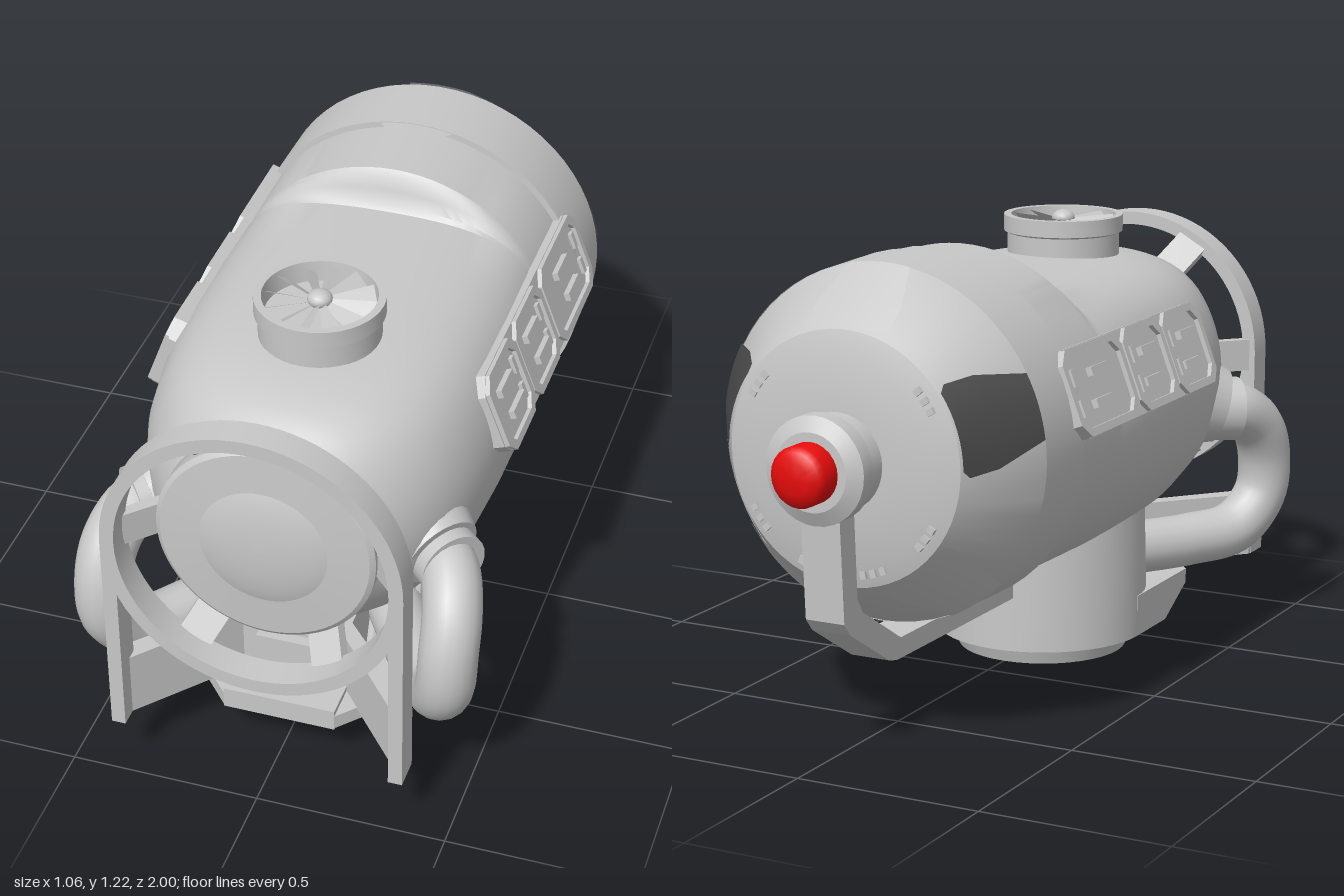
import * as THREE from 'three';
import { toCreasedNormals } from 'three/addons/utils/BufferGeometryUtils.js';

const CY = 0.75; // height of the main axis

export function createModel() {
  const model = new THREE.Group();
  const material = (name, color) => {
    const m = new THREE.MeshStandardMaterial({ color, side: THREE.DoubleSide });
    m.name = name;
    return m;
  };
  const grey = material('light grey metal', 0xc8c8c8);
  const dark = material('dark window', 0x484848);
  const red = material('red', 0xf40c0c);

  const add = (name, geo, mat = grey, parent = model) => {
    const mesh = new THREE.Mesh(geo, mat);
    mesh.name = name;
    parent.add(mesh);
    return mesh;
  };
  const crease = (g, a = 0.45) => toCreasedNormals(g, a);
  const v2 = (pts) => pts.map(([a, b]) => new THREE.Vector2(a, b));
  // Turned part around the main axis, points are [radius, z] from back to front
  const turned = (pts, seg = 64) => {
    const g = new THREE.LatheGeometry(v2(pts), seg);
    g.rotateX(Math.PI / 2);
    return g.translate(0, CY, 0);
  };
  const box = (name, w, h, d, x, y, z, parent = model) =>
    add(name, new THREE.BoxGeometry(w, h, d).translate(x, y, z), grey, parent);
  const extrude = (shape, depth) =>
    new THREE.ExtrudeGeometry(shape, { depth, bevelEnabled: false, curveSegments: 40 });
  // Flat outline [x, z] raised from y0 to y1
  const slab = (pts, y0, y1) =>
    extrude(new THREE.Shape(v2(pts.map(([x, z]) => [x, -z]))), y1 - y0)
      .rotateX(-Math.PI / 2).translate(0, y0, 0);
  // Rod between two points
  const rod = (a, b, r0, r1, seg = 24) => {
    const dir = b.clone().sub(a);
    const g = new THREE.CylinderGeometry(r1, r0, dir.length(), seg);
    g.applyQuaternion(new THREE.Quaternion().setFromUnitVectors(
      new THREE.Vector3(0, 1, 0), dir.clone().normalize()));
    return g.translate((a.x + b.x) / 2, (a.y + b.y) / 2, (a.z + b.z) / 2);
  };

  // Main hull, its crown pressed down ahead of a short ramp
  const hull = turned([[0.45, -0.5], [0.45, -0.15], [0.45, -0.137], [0.45, -0.125], [0.45, -0.112],
    [0.452, -0.1], [0.455, 0.1], [0.453, 0.3], [0.445, 0.45], [0.422, 0.58], [0.39, 0.67],
    [0.35, 0.74], [0.31, 0.79], [0.27, 0.83], [0, 0.83]], 80);
  const hp = hull.attributes.position;
  for (let i = 0; i < hp.count; i++) {
    const press = 1 - THREE.MathUtils.smoothstep(-hp.getZ(i), 0.1, 0.15);
    const t = Math.max(0, (hp.getY(i) - CY - 0.2) / 0.255);
    hp.setY(i, hp.getY(i) - 0.105 * t * t * press);
  }
  add('hull', crease(hull));

  // Rear collar with a tab on its front edge, and the rear cone
  add('rearCollar', crease(turned([[0.462, -0.57], [0.466, -0.37], [0.466, -0.36], [0.43, -0.358]])));
  const coneR = (z) => 0.46 + (z + 0.57) * 0.71;
  add('rearCone', crease(turned([[0, -0.79], [0.14, -0.788], [0.26, -0.778], [0.325, -0.76],
    [0.46, -0.57], [0.462, -0.56]])));

  // Patch wrapped on a round surface: rows are [z, half width]
  const patch = (rows, radius, angle) => {
    const cols = 8, pos = [], idx = [];
    rows.forEach(([z, hw], j) => {
      const r = radius(z);
      for (let i = 0; i <= cols; i++) {
        const a = angle + (hw / r) * (1 - 2 * i / cols);
        pos.push(r * Math.cos(a), CY + r * Math.sin(a), z);
        if (j && i) {
          const k = j * (cols + 1) + i, p = k - cols - 1;
          idx.push(p - 1, p, k - 1, p, k, k - 1);
        }
      }
    });
    const g = new THREE.BufferGeometry();
    g.setAttribute('position', new THREE.Float32BufferAttribute(pos, 3));
    g.setIndex(idx);
    g.computeVertexNormals();
    return g;
  };
  add('collarTab', patch([[-0.3, 0.06], [-0.36, 0.1], [-0.37, 0.1]], () => 0.463, Math.PI / 2));
  for (let i = 0; i < 5; i++) {
    const a = Math.PI / 2 + i * Math.PI * 0.4;
    const rows = [[-0.575, 0.085], [-0.68, 0.12], [-0.745, 0.12], [-0.76, 0.1]];
    add('rearPanel', patch(rows.reverse(), (z) => coneR(z) + 0.008, a), i === 1 || i === 4 ? dark : grey);
  }

  // Rear knob with its red button
  add('rearKnob', crease(turned([[0, -0.92], [0.1, -0.92], [0.138, -0.9], [0.138, -0.855],
    [0.122, -0.84], [0.125, -0.775]], 32)));
  add('redButton', crease(turned([[0, -1], [0.04, -0.998], [0.065, -0.99], [0.077, -0.975],
    [0.077, -0.915]], 24), 0.8), red);

  // Square duct running from the knob down and under the hull
  const duct = new THREE.Shape(v2([[-0.88, 0.68], [-0.86, 0.36], [-0.83, 0.325], [-0.64, 0.21],
    [-0.6, 0.2], [0.08, 0.2], [0.08, 0.255], [-0.58, 0.255], [-0.77, 0.37], [-0.795, 0.41], [-0.81, 0.68]]));
  add('rearDuct', extrude(duct, 0.11).rotateY(-Math.PI / 2).translate(0.055, 0, 0));

  // Front lens
  add('lensBarrel', crease(turned([[0.27, 0.8], [0.283, 0.83], [0.283, 0.885], [0.27, 0.895],
    [0.165, 0.902]])));
  add('lensGlass', turned([[0.165, 0.902], [0.13, 0.914], [0.08, 0.921], [0.04, 0.924], [0, 0.925]], 48));

  // Guard ring on two legs, held by six spokes leaning forward
  const ring = new THREE.Shape().absarc(0, 0, 0.387, 0, Math.PI * 2);
  ring.holes.push(new THREE.Path().absarc(0, 0, 0.35, 0, Math.PI * 2, true));
  add('guardRing', crease(extrude(ring, 0.08).translate(0, 0.755, 0.92)));
  const spokeGeo = new THREE.BoxGeometry(0.15, 0.09, 0.03).rotateY(-0.8).translate(0.315, 0, 0.885);
  for (let i = 0; i < 6; i++) {
    const spoke = add('guardSpoke', spokeGeo);
    spoke.position.y = CY;
    spoke.rotation.z = i * Math.PI / 3;
  }

  for (const s of [1, -1]) {
    const P = (x, y, z) => new THREE.Vector3(s * x, y, z);
    box('guardLeg', 0.037, 0.595, 0.08, s * 0.3685, 0.4575, 0.96);
    // Angled plate from the leg back to the base
    const wing = [[s * 0.385, 0.95], [s * 0.35, 0.95], [s * 0.135, 0.7], [s * 0.135, 0.64], [s * 0.385, 0.91]];
    add('legBrace', slab(wing, 0.16, 0.34));

    // Hose with its fitting on the hull
    add('hoseFairing', rod(P(0.24, 0.7, 0.56), P(0.385, 0.65, 0.67), 0.16, 0.105));
    add('hoseCollar', rod(P(0.37, 0.645, 0.65), P(0.425, 0.64, 0.7), 0.09, 0.09));
    const path = new THREE.CatmullRomCurve3([P(0.37, 0.645, 0.65), P(0.42, 0.635, 0.715), P(0.45, 0.575, 0.795),
      P(0.455, 0.48, 0.84), P(0.446, 0.37, 0.836), P(0.4, 0.28, 0.76), P(0.31, 0.26, 0.63), P(0.2, 0.26, 0.46)]);
    add('hose', new THREE.TubeGeometry(path, 48, 0.075, 18));

    // Side panel row, tilted to follow the hull
    const panel = new THREE.Group();
    panel.name = 'sidePanel';
    panel.position.set(s * 0.442, 0.884, 0);
    panel.rotation.z = s * 0.36;
    model.add(panel);
    const octagon = (w, h, c) => v2([[-w + c, -h], [w - c, -h], [w, -h + c], [w, h - c],
      [w - c, h], [-w + c, h], [-w, h - c], [-w, -h + c]]);
    const plate = (shape, x0, x1, z) =>
      extrude(shape, x1 - x0).rotateY(s * Math.PI / 2).translate(s * x0, 0, z);
    add('panelBase', plate(new THREE.Shape(octagon(0.42, 0.115, 0.04)), -0.06, 0.004, 0), grey, panel);
    for (const [z, w] of [[0.295, 0.12], [0.05, 0.12], [-0.25, 0.17]]) {
      const frame = new THREE.Shape(octagon(w, 0.113, 0.035));
      frame.holes.push(new THREE.Path(octagon(w - 0.02, 0.093, 0.03).reverse()));
      add('panelFrame', plate(frame, -0.01, 0.016, z), grey, panel);
      for (const y of [0.04, -0.04]) {
        box('panelBar', 0.036, 0.022, 0.1, s * 0.002, y, z + y * 0.3, panel);
        box('panelClip', 0.024, 0.045, 0.018, s * 0.002, y, z - w + 0.045, panel);
      }
    }

    // Short vents on the rear cap
    for (const a of [0.94, 2.2, 3.45]) {
      for (const d of [-0.1, 0, 0.1]) {
        const b = a + d - Math.PI / 2;
        const vent = box('capVent', 0.02, 0.016, 0.012, 0, 0, 0);
        vent.position.set(s * 0.29 * Math.cos(b), CY - 0.29 * Math.sin(b), -0.772);
        vent.rotation.z = -s * b;
      }
    }
  }

  // Base pedestal, cut back at the top front, with an undercut nose
  const pedestal = new THREE.CylinderGeometry(0.29, 0.295, 0.37, 48, 1).translate(0, 0.235, 0.33);
  const pp = pedestal.attributes.position;
  for (let i = 0; i < pp.count; i++) {
    if (pp.getY(i) > 0.3) pp.setZ(i, Math.min(pp.getZ(i), 0.43));
  }
  add('pedestal', crease(pedestal));
  const outline = [[-0.295, 0.33], [-0.295, 0.66], [-0.15, 0.82], [0.15, 0.82], [0.295, 0.66], [0.295, 0.33]];
  add('baseNose', slab(outline, 0.125, 0.165));
  const under = slab(outline, 0.05, 0.125);
  const np = under.attributes.position;
  for (let i = 0; i < np.count; i++) {
    if (np.getZ(i) > 0.6 && np.getY(i) < 0.1) np.setZ(i, np.getZ(i) - 0.14);
  }
  under.computeVertexNormals();
  add('baseUndercut', under);
  box('noseBlock', 0.3, 0.06, 0.27, 0, 0.15, 0.685);
  box('baseFront', 0.29, 0.18, 0.28, 0, 0.25, 0.56);
  box('baseFrontPlate', 0.18, 0.125, 0.04, 0, 0.24, 0.71);

  // Fan: turned housing, hub and tilted blades
  const fan = (name, profile, inner, y, blades) => {
    const g = new THREE.Group();
    g.name = name;
    add('fanHousing', crease(new THREE.LatheGeometry(v2(profile), 40)), grey, g);
    add('fanHub', new THREE.SphereGeometry(0.032, 16, 10).scale(1, 0.7, 1).translate(0, y, 0), grey, g);
    for (let i = 0; i < blades; i++) {
      const blade = new THREE.BufferGeometry();
      const w = inner * 0.15;
      blade.setAttribute('position', new THREE.Float32BufferAttribute([
        0.02, 0.006, -0.008, 0.02, -0.006, 0.008, inner, -0.014, w, inner, 0.014, -w], 3));
      blade.setIndex([0, 1, 2, 0, 2, 3]);
      blade.computeVertexNormals();
      add('fanBlade', blade.rotateY(i * Math.PI * 2 / blades).translate(0, y - 0.008, 0), grey, g);
    }
    model.add(g);
    return g;
  };
  fan('topFan', [[0.155, -0.03], [0.155, 0.05], [0.165, 0.055], [0.165, 0.1], [0.145, 0.1],
    [0.14, 0.045], [0, 0.045]], 0.14, 0.088, 12).position.set(0, 1.1, 0.45);
  const bottomFan = fan('bottomFan', [[0.255, -0.01], [0.235, 0.05], [0.205, 0.05], [0.2, 0.003], [0, 0.003]],
    0.2, 0.026, 10);
  bottomFan.position.set(0, 0.05, 0.33);
  bottomFan.rotation.x = Math.PI;

  return model;
}
